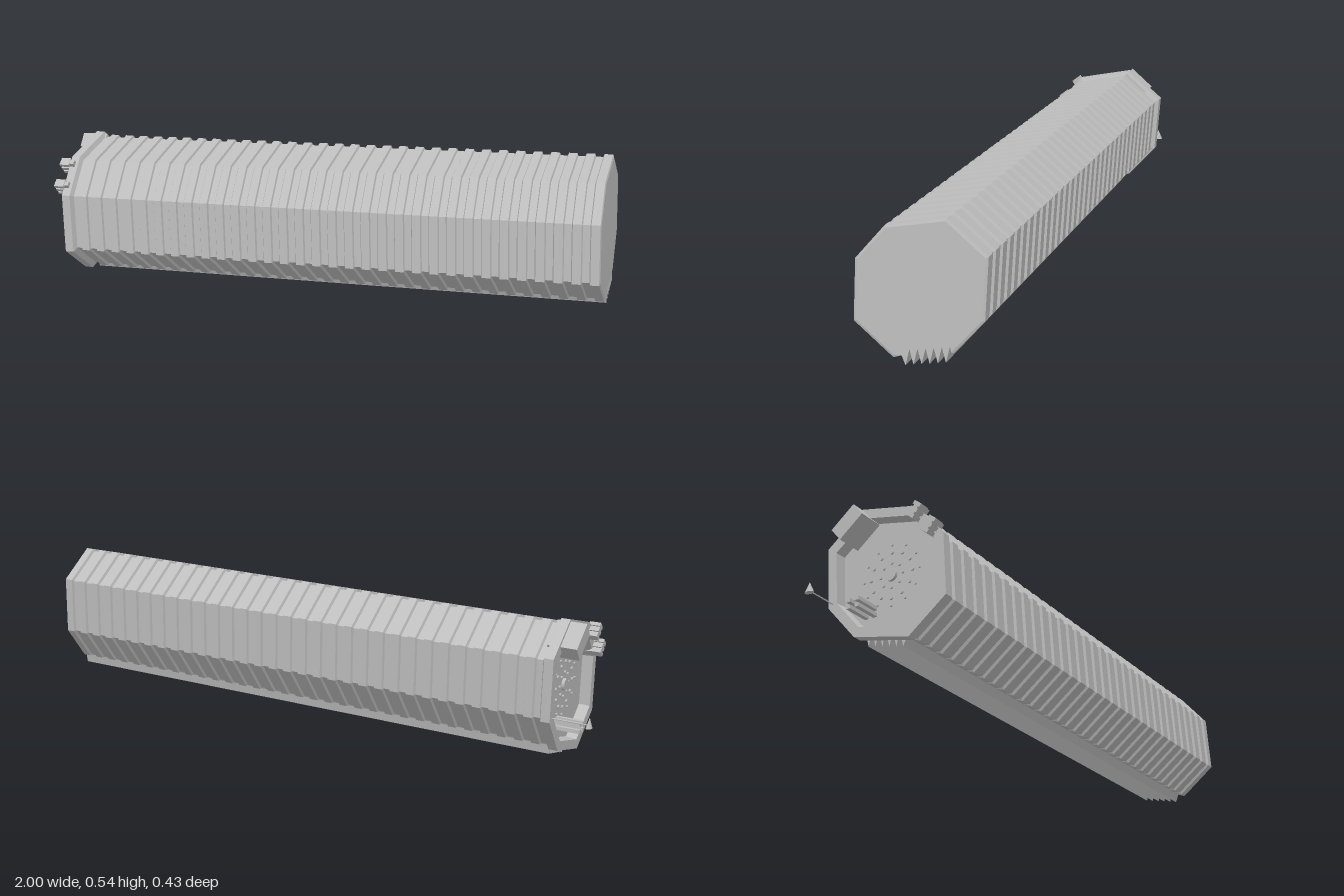
import * as THREE from 'three';

// Half of the eight-sided section as [z, y]; the other half is its point mirror.
const HALF = [[0.103, 0.178], [-0.084, 0.222], [-0.207, 0.126], [-0.197, -0.067]];
const OCTAGON = [...HALF, ...HALF.map(([z, y]) => [-z, -y])];

const octagon = (s) => OCTAGON.map(([z, y]) => [z * s, y * s]);

// Section with a zigzag of fins on the underside, between corners 4 and 5.
function finnedSection(s) {
  const p = octagon(s);
  const [E, F] = [OCTAGON[4], OCTAGON[5]];
  const lineY = (z) => (E[1] + (F[1] - E[1]) * (z - E[0]) / (F[0] - E[0])) * 0.98;
  const fins = [[-0.096, lineY(-0.096)]];
  for (let i = 5; i >= 0; i--) {
    const z = 0.045 - i * 0.025;
    fins.push([z - 0.0125, lineY(z - 0.0125) + 0.018]);
    fins.push([z, lineY(z) - 0.031]);
  }
  fins.push([0.057, lineY(0.057)]);
  return [...p.slice(0, 5), ...fins, ...p.slice(5)];
}

// Flat-faced skin through a list of [x, section].
function loft(rings) {
  const pos = [];
  for (let i = 0; i < rings.length - 1; i++) {
    const [xa, a] = rings[i];
    const [xb, b] = rings[i + 1];
    for (let j = 0; j < a.length; j++) {
      const k = (j + 1) % a.length;
      const v = (x, q) => [x, q[1], q[0]];
      pos.push(...v(xa, a[j]), ...v(xb, b[j]), ...v(xb, b[k]));
      pos.push(...v(xa, a[j]), ...v(xb, b[k]), ...v(xa, a[k]));
    }
  }
  const g = new THREE.BufferGeometry();
  g.setAttribute('position', new THREE.Float32BufferAttribute(pos, 3));
  g.computeVertexNormals();
  return g;
}

// Flat end plate facing +x (dir 1) or -x (dir -1).
function endPlate(section, x, dir) {
  const shape = new THREE.Shape(section.map(([z, y]) => new THREE.Vector2(-dir * z, y)));
  return new THREE.ShapeGeometry(shape).rotateY(dir * Math.PI / 2).translate(x, 0, 0);
}

export function createModel() {
  const model = new THREE.Group();
  const grey = new THREE.MeshStandardMaterial({ color: 0xbdbdbd });

  // Everything sits on one slightly raised axis.
  const tube = new THREE.Group();
  tube.name = 'tiltedTube';
  tube.position.set(0.06, 0.287, 0);
  tube.rotation.z = 0.045;
  model.add(tube);

  function add(name, geometry, x = 0, y = 0, z = 0) {
    const m = new THREE.Mesh(geometry, grey);
    m.name = name;
    m.position.set(x, y, z);
    tube.add(m);
    return m;
  }

  // Ribbed body
  const LOW = 0.962, HIGH = 1, START = -0.9, END = 0.93, COUNT = 32;
  const pitch = (END - START) / COUNT;
  const rings = [];
  for (let i = 0; i < COUNT; i++) {
    const x = START + i * pitch;
    rings.push([x, finnedSection(LOW)], [x + pitch * 0.4, finnedSection(LOW)]);
    rings.push([x + pitch * 0.47, finnedSection(HIGH)], [x + pitch * 0.95, finnedSection(HIGH)]);
  }
  rings.push([END, finnedSection(LOW)]);
  add('ribbedBody', loft(rings));
  add('plainEndCap', endPlate(finnedSection(LOW), END, 1));
  add('recessedEndPlate', endPlate(finnedSection(LOW), START, -1));

  // Rim around the recessed end
  add('endRim', loft([
    [-0.9, octagon(0.87)], [-0.935, octagon(0.89)], [-0.935, octagon(1.045)],
    [-0.905, octagon(1.045)], [-0.897, octagon(0.96)],
  ]));

  // Hub and rings of studs on the recessed plate
  const disc = (r, h, n) => new THREE.CylinderGeometry(r, r, h, n).toNonIndexed().rotateZ(Math.PI / 2);
  add('hub', disc(0.02, 0.012, 12), -0.904);
  for (const [radius, count, size] of [[0.04, 8, 0.005], [0.075, 12, 0.006], [0.1, 12, 0.004]]) {
    for (let i = 0; i < count; i++) {
      const a = i / count * Math.PI * 2;
      add('stud', disc(size, 0.008, 6), -0.902, Math.sin(a) * radius, Math.cos(a) * radius);
    }
  }

  // Box on the upper back edge
  const box = add('endBox', new THREE.BoxGeometry(0.095, 0.053, 0.103), -0.94, 0.172, -0.107);
  box.rotation.x = -0.68;

  // Pair of grooved clamps on the upper front edge
  for (const [y, z] of [[0.156, 0.122], [0.092, 0.174]]) {
    const clamp = new THREE.Group();
    clamp.name = 'clamp';
    clamp.position.set(-0.948, y, z);
    clamp.rotation.x = -0.88;
    for (let i = 0; i < 3; i++) {
      const plate = new THREE.Mesh(new THREE.BoxGeometry(0.036, 0.03, 0.012), grey);
      plate.name = 'clampPlate';
      plate.position.z = (i - 1) * 0.019;
      clamp.add(plate);
    }
    const core = new THREE.Mesh(new THREE.BoxGeometry(0.05, 0.018, 0.046), grey);
    core.name = 'clampCore';
    core.position.x = 0.008;
    clamp.add(core);
    tube.add(clamp);
  }

  // Two pairs of pins low on the end
  for (const z of [-0.085, -0.055]) {
    for (const y of [-0.118, -0.097]) {
      add('pin', new THREE.BoxGeometry(0.09, 0.012, 0.014), -0.95, y, z);
    }
  }

  // Thin feeler with a pointed tip
  add('feelerRod', disc(0.002, 0.13, 6), -0.99, -0.058, -0.191);
  const tip = add('feelerTip', new THREE.ConeGeometry(0.01, 0.034, 8).toNonIndexed(), -1.052, -0.052, -0.184);
  tip.scale.z = 1.7;

  return model;
}
